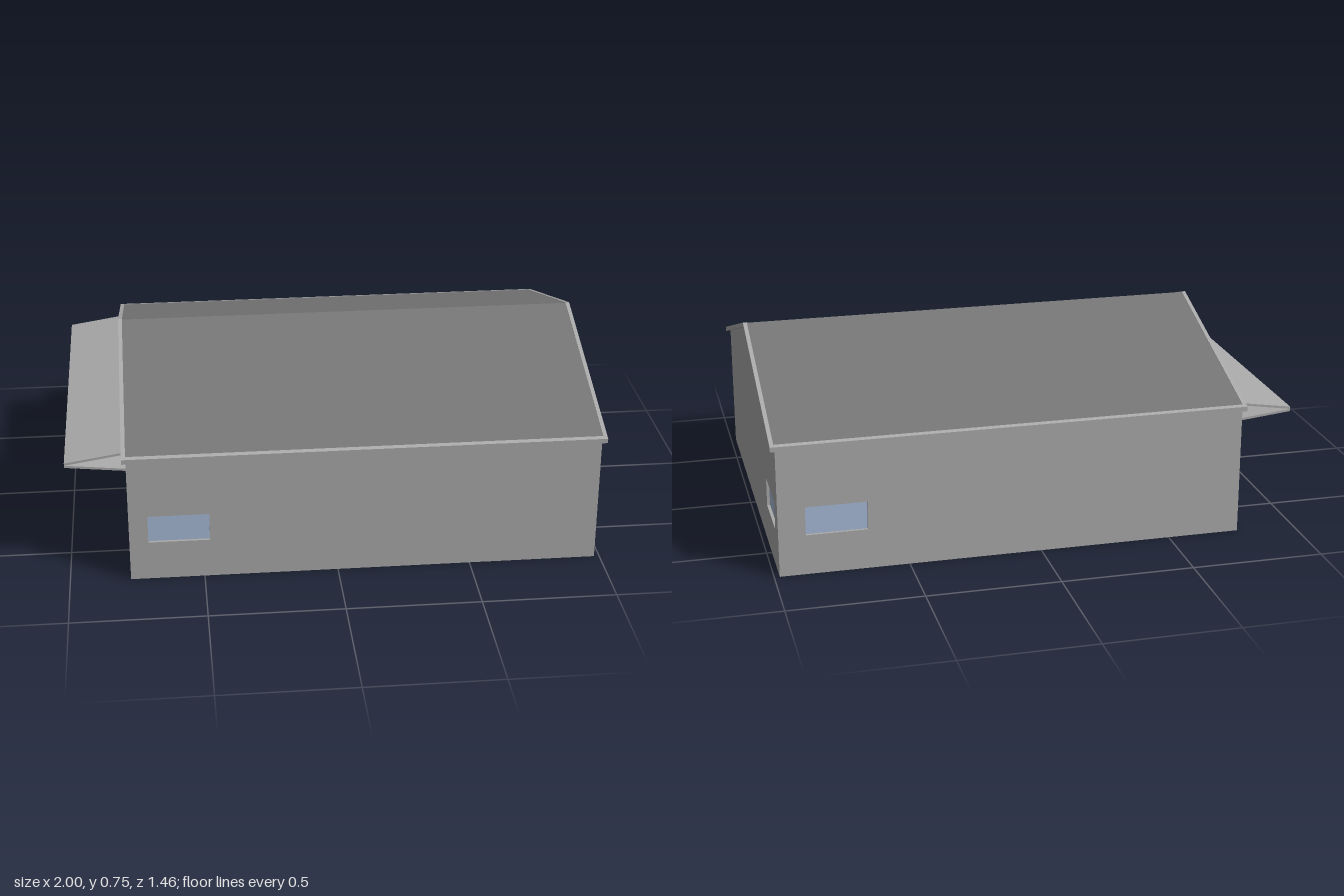
import * as THREE from 'three';

const X0 = -0.775, X1 = 0.98, ZW = 0.718, T = 0.014;   // wall extents and thickness
const SLOPE = 0.329, RIDGE = 0.745, ROOF_T = 0.015;
const WIN_Y0 = 0.153, WIN_Y1 = 0.262;

export function createModel() {
  const group = new THREE.Group();
  const wallGrey = new THREE.MeshStandardMaterial({ color: 0xaaaaaa });
  wallGrey.name = 'wall grey';
  const roofGrey = new THREE.MeshStandardMaterial({ color: 0x767676 });
  roofGrey.name = 'roof grey';
  const glassBlue = new THREE.MeshStandardMaterial({ color: 0xa8bcd8 });
  glassBlue.name = 'glass blue';

  const add = (name, geometry, material) => {
    const mesh = new THREE.Mesh(geometry, material);
    mesh.name = name;
    group.add(mesh);
    return mesh;
  };
  const box = (name, material, x0, x1, y0, y1, z0, z1) => {
    const mesh = add(name, new THREE.BoxGeometry(x1 - x0, y1 - y0, z1 - z0), material);
    mesh.position.set((x0 + x1) / 2, (y0 + y1) / 2, (z0 + z1) / 2);
    return mesh;
  };
  const polygon = (points) => new THREE.Shape(points.map(([x, y]) => new THREE.Vector2(x, y)));
  const rect = (a, b, c, d) => [[a, c], [b, c], [b, d], [a, d]];
  const extrude = (points, depth, hole) => {
    const shape = polygon(points);
    if (hole) shape.holes.push(polygon(hole));
    return new THREE.ExtrudeGeometry(shape, { depth, bevelEnabled: false });
  };
  // Extrude a (-z, y) profile along x
  const alongX = (name, material, points, x0, x1, hole) => {
    const mesh = add(name, extrude(points, x1 - x0, hole), material);
    mesh.rotation.y = Math.PI / 2;
    mesh.position.x = x0;
  };
  const chevron = (z, top, t) => [
    [-z, top - z * SLOPE - t], [0, top - t], [z, top - z * SLOPE - t],
    [z, top - z * SLOPE], [0, top], [-z, top - z * SLOPE],
  ];

  // Gable walls: window at one end, wide door opening at the other
  const under = RIDGE - ROOF_T;
  const eave = under - ZW * SLOPE;
  const gable = [[-ZW, 0], [ZW, 0], [ZW, eave], [0, under], [-ZW, eave]];
  alongX('rightGableWall', wallGrey, gable, X1 - T, X1, rect(0.405, 0.638, WIN_Y0, WIN_Y1));
  alongX('doorGableWall', wallGrey, gable, X0, X0 + T, rect(-0.64, 0.64, 0.03, 0.475));

  // Long walls with one window each
  const longWall = (name, z, w0, w1) => {
    const points = rect(X0 + T, X1 - T, 0, eave);
    const mesh = add(name, extrude(points, T, rect(w0, w1, WIN_Y0, WIN_Y1)), wallGrey);
    mesh.position.z = z;
  };
  longWall('frontWall', ZW - T, -0.705, -0.477);
  longWall('backWall', -ZW, 0.652, 0.88);

  // Glass set at the inner side of the walls
  const G = 0.003;
  box('frontWindow', glassBlue, -0.705, -0.477, WIN_Y0, WIN_Y1, ZW - T, ZW - T + G);
  box('backWindow', glassBlue, 0.652, 0.88, WIN_Y0, WIN_Y1, -ZW + T - G, -ZW + T);
  box('rightWindow', glassBlue, X1 - T, X1 - T + G, WIN_Y0, WIN_Y1, -0.638, -0.405);

  // Raised floor slab
  box('floor', wallGrey, X0 + T, X1 - T, 0.022, 0.03, -ZW + T, ZW - T);

  // Roof panels with gable and eave trim
  alongX('roof', roofGrey, chevron(0.716, RIDGE, ROOF_T), -0.775, 0.983);
  for (const [x0, x1] of [[-0.79, -0.775], [0.983, 0.998]]) {
    alongX('gableTrim', wallGrey, chevron(0.731, RIDGE + 0.002, ROOF_T + 0.003), x0, x1);
  }
  for (const s of [-1, 1]) {
    const a = 0.716, b = 0.731, top = RIDGE + 0.002, low = top - ROOF_T - 0.003;
    const p = [[a, low - a * SLOPE], [b, low - b * SLOPE], [b, top - b * SLOPE], [a, top - a * SLOPE]];
    const points = s > 0 ? p : p.map(([u, y]) => [-u, y]).reverse();
    alongX('eaveTrim', wallGrey, points, -0.775, 0.983);
  }

  // Interior portal frames
  for (const x of [0.55, 0.08, -0.39]) {
    alongX('rafter', wallGrey, chevron(0.7, under - 0.001, 0.02), x - 0.008, x + 0.008);
    for (const s of [-1, 1]) {
      const z = s * 0.693;
      box('column', wallGrey, x - 0.008, x + 0.008, 0.018, 0.49, z - 0.01, z + 0.01);
    }
  }

  // Folded-up door: two hinged leaves
  const leaf = (name, xa, ya, xb, yb) => {
    const length = Math.hypot(xb - xa, yb - ya);
    const mesh = add(name, new THREE.BoxGeometry(length, 0.009, 1.28), wallGrey);
    mesh.position.set((xa + xb) / 2, (ya + yb) / 2, 0);
    mesh.rotation.z = Math.atan2(yb - ya, xb - xa);
  };
  leaf('upperDoorLeaf', -0.999, 0.452, -0.777, 0.487);
  leaf('lowerDoorLeaf', -0.999, 0.443, -0.77, 0.419);

  return group;
}
